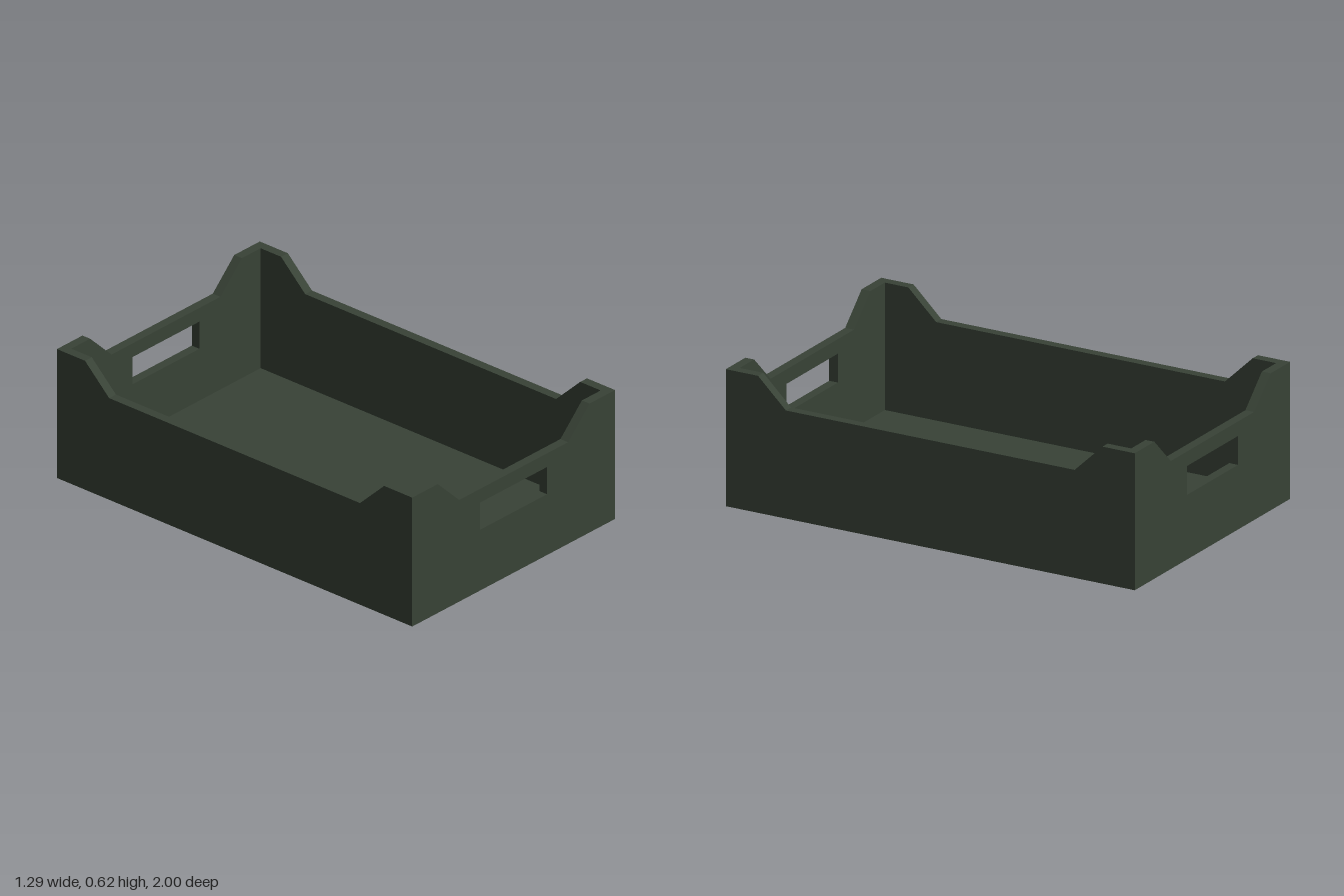
import * as THREE from 'three';

const HALF_W = 0.643, HALF_L = 1, WALL = 0.043;
const CORNER_H = 0.615, RAIL_H = 0.485, SLOPE = 0.136;

// Wall outline: tall corners sloping down to a lower middle rail
function wallShape(halfWidth, notchHalf) {
  return new THREE.Shape([
    [-halfWidth, 0], [halfWidth, 0], [halfWidth, CORNER_H],
    [notchHalf, CORNER_H], [notchHalf - SLOPE, RAIL_H],
    [SLOPE - notchHalf, RAIL_H], [-notchHalf, CORNER_H], [-halfWidth, CORNER_H],
  ].map(([x, y]) => new THREE.Vector2(x, y)));
}

// Extruded wall, centred on its own thickness
function wallGeometry(shape) {
  return new THREE.ExtrudeGeometry(shape, { depth: WALL, bevelEnabled: false })
    .translate(0, 0, -WALL / 2);
}

export function createModel() {
  const group = new THREE.Group();
  group.name = 'crate';
  const darkGreen = new THREE.MeshStandardMaterial({ color: 0x384236 });
  darkGreen.name = 'darkGreen';

  const add = (name, geometry) => {
    const mesh = new THREE.Mesh(geometry, darkGreen);
    mesh.name = name;
    group.add(mesh);
    return mesh;
  };

  // End walls with handle openings
  const endShape = wallShape(HALF_W, 0.481);
  endShape.holes.push(new THREE.Path([
    new THREE.Vector2(-0.212, 0.29), new THREE.Vector2(-0.212, 0.42),
    new THREE.Vector2(0.212, 0.42), new THREE.Vector2(0.212, 0.29),
  ]));
  const endGeometry = wallGeometry(endShape);
  add('frontWall', endGeometry).position.z = HALF_L - WALL / 2;
  add('backWall', endGeometry).position.z = WALL / 2 - HALF_L;

  // Long side walls fitted between the ends
  const sideGeometry = wallGeometry(wallShape(HALF_L - WALL, 0.842)).rotateY(Math.PI / 2);
  add('leftWall', sideGeometry).position.x = HALF_W - WALL / 2;
  add('rightWall', sideGeometry).position.x = WALL / 2 - HALF_W;

  // Floor panel inside the walls
  add('floor', new THREE.BoxGeometry(2 * (HALF_W - WALL), WALL, 2 * (HALF_L - WALL)))
    .position.y = WALL / 2;

  return group;
}
